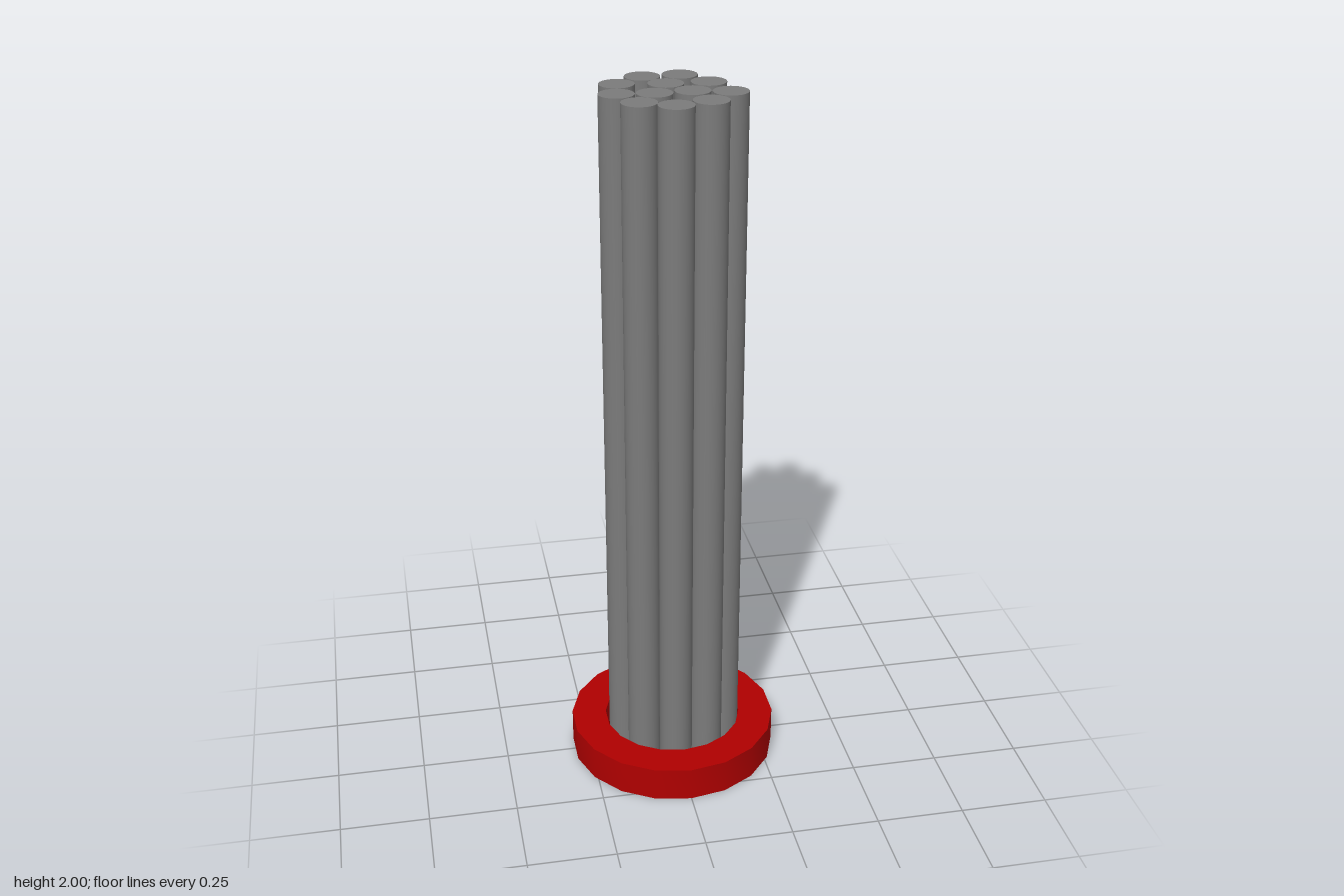
import * as THREE from 'three';
import { toCreasedNormals } from 'three/addons/utils/BufferGeometryUtils.js';

export function createModel() {
  const model = new THREE.Group();
  model.name = 'rodBundle';

  // Flat 18-sided collar around the foot of the bundle
  const profile = [[0.2, 0], [0.3, 0], [0.3, 0.1], [0.2, 0.1], [0.2, 0]];
  const collar = new THREE.Mesh(
    toCreasedNormals(new THREE.LatheGeometry(profile.map(([r, y]) => new THREE.Vector2(r, y)), 18), Math.PI / 7),
    new THREE.MeshStandardMaterial({ color: 0xb00000 }),
  );
  collar.name = 'baseCollar';
  model.add(collar);

  // Tall, thin diamond-section band hidden among the rods
  const bandGeometry = new THREE.TorusGeometry(0.0705, 0.0165, 4, 18);
  bandGeometry.rotateX(-Math.PI / 2).rotateY(Math.PI / 2).scale(1, 6, 1);
  const band = new THREE.Mesh(bandGeometry, new THREE.MeshStandardMaterial({ color: 0x5a4242 }));
  band.name = 'innerBand';
  band.position.y = 0.5;
  model.add(band);

  // Loosely packed upright rods: [x, z]
  const rodCentres = [
    [-0.053, -0.139], [0.047, -0.14], [-0.13, -0.076], [-0.005, -0.059],
    [0.107, -0.057], [-0.146, 0.019], [-0.05, 0.028], [0.049, 0.022],
    [0.143, 0.045], [-0.103, 0.108], [-0.017, 0.147], [0.077, 0.119],
  ];
  const rodGeometry = new THREE.CylinderGeometry(0.047, 0.047, 2, 32);
  const rodMaterial = new THREE.MeshStandardMaterial({ color: 0x7b7b7b });
  const rods = new THREE.Group();
  rods.name = 'rods';
  rodCentres.forEach(([x, z], i) => {
    const rod = new THREE.Mesh(rodGeometry, rodMaterial);
    rod.name = `rod${i + 1}`;
    rod.position.set(x, 1, z);
    rods.add(rod);
  });
  model.add(rods);

  return model;
}
